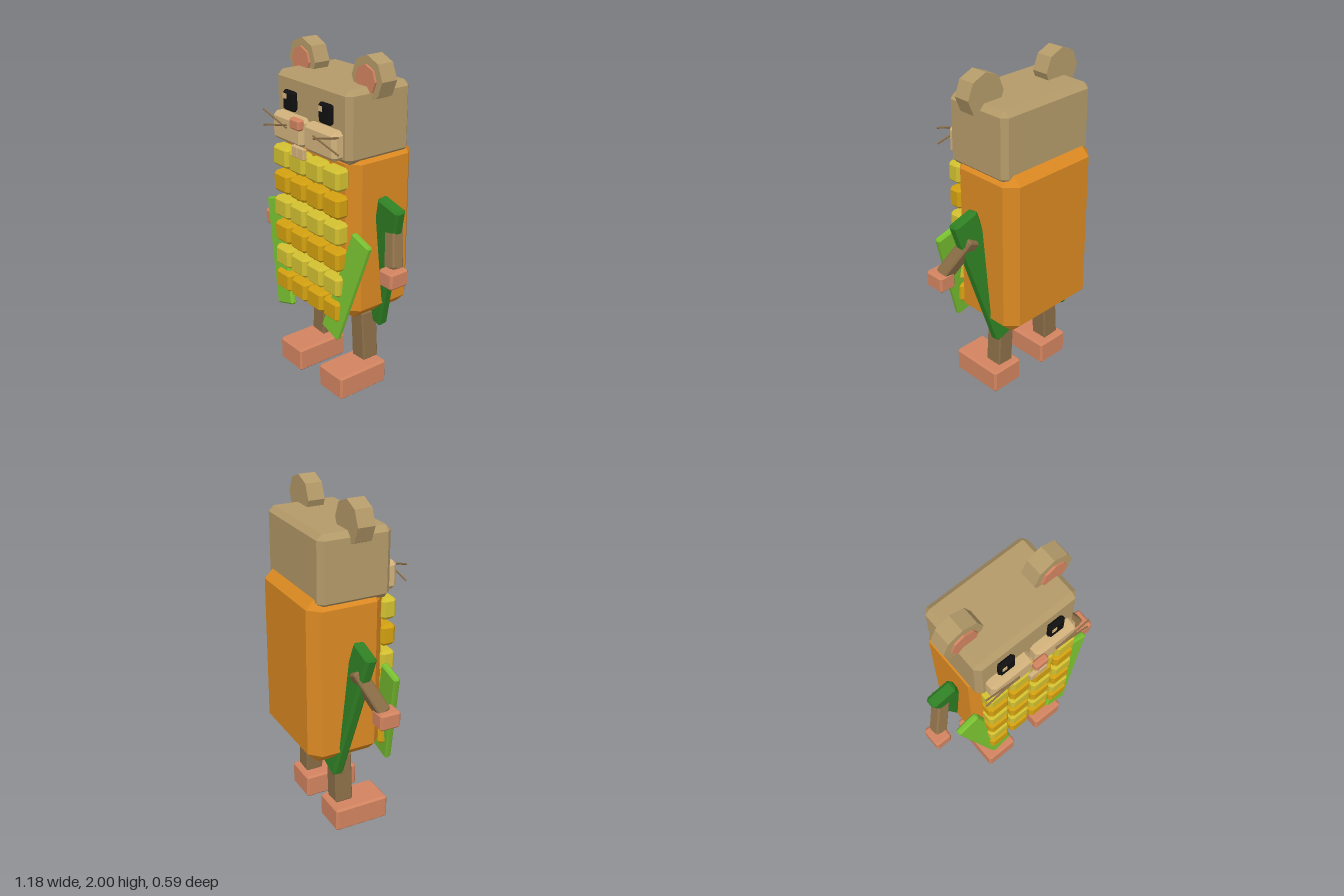
import * as THREE from 'three';
import { ConvexGeometry } from 'three/addons/geometries/ConvexGeometry.js';

function material(name, color) {
  const m = new THREE.MeshStandardMaterial({ color });
  m.name = name;
  return m;
}

// Box with flat chamfered edges, centred on its origin
function chamferBox(w, h, d, c) {
  const pts = [];
  const x = w / 2, y = h / 2, z = d / 2;
  for (const i of [-1, 1]) for (const j of [-1, 1]) for (const k of [-1, 1]) {
    pts.push(
      new THREE.Vector3(i * x, j * (y - c), k * (z - c)),
      new THREE.Vector3(i * (x - c), j * y, k * (z - c)),
      new THREE.Vector3(i * (x - c), j * (y - c), k * z));
  }
  return new ConvexGeometry(pts);
}

export function createModel() {
  const model = new THREE.Group();
  model.name = 'cornMouse';

  const fur = material('fur', 0xb49a69);
  const cream = material('cream', 0xd2b27c);
  const pink = material('pink', 0xd28460);
  const brown = material('brown', 0x8b6e47);
  const cob = material('cob', 0xdb8922);
  const yellow = material('paleKernel', 0xd2c030);
  const gold = material('goldKernel', 0xd2a010);
  const darkGreen = material('darkLeaf', 0x2f8024);
  const lime = material('limeLeaf', 0x78bf30);
  const black = material('black', 0x101010);

  function add(name, geometry, mat, x, y, z) {
    const mesh = new THREE.Mesh(geometry, mat);
    mesh.name = name;
    mesh.position.set(x, y, z);
    model.add(mesh);
    return mesh;
  }
  const box = (name, mat, [w, h, d], c, x, y, z) =>
    add(name, chamferBox(w, h, d, c), mat, x, y, z);

  // Bar running between two points
  function bar(name, mat, from, to, w, d, c) {
    const a = new THREE.Vector3(...from), b = new THREE.Vector3(...to);
    const dir = b.clone().sub(a);
    const mid = a.clone().add(b).multiplyScalar(0.5);
    const mesh = box(name, mat, [w, dir.length(), d], c, mid.x, mid.y, mid.z);
    mesh.quaternion.setFromUnitVectors(new THREE.Vector3(0, 1, 0), dir.normalize());
    return mesh;
  }

  // Cob body and head
  box('body', cob, [0.66, 1.0, 0.455], 0.065, 0, 1.0, -0.07);
  box('head', fur, [0.65, 0.4, 0.43], 0.03, 0, 1.64, -0.032);

  // Kernels in rows of alternating colour
  for (let row = 0; row < 6; row++) {
    for (let col = 0; col < 4; col++) {
      box('kernel', row % 2 ? gold : yellow, [0.137, 0.125, 0.09], 0.018,
        (col - 1.5) * 0.153, 1.36 - row * 0.156, 0.192);
    }
  }

  // Nose
  box('nose', pink, [0.088, 0.062, 0.043], 0.01, 0, 1.615, 0.275);

  for (const s of [-1, 1]) {
    // Ears
    const ear = new THREE.CylinderGeometry(0.122, 0.122, 0.1, 8).toNonIndexed();
    ear.rotateX(Math.PI / 2);
    ear.computeVertexNormals();
    add('ear', ear, fur, s * 0.28, 1.878, -0.02);
    const inner = new THREE.CylinderGeometry(0.08, 0.08, 0.02, 8).toNonIndexed();
    inner.rotateX(Math.PI / 2);
    inner.computeVertexNormals();
    add('innerEar', inner, pink, s * 0.28, 1.872, 0.032);

    // Eyes, each with a glint on the same side
    box('eye', black, [0.104, 0.112, 0.036], 0.012, s * 0.16, 1.695, 0.2);
    add('eyeGlint', new THREE.BoxGeometry(0.028, 0.028, 0.006), cream, s * 0.16 - 0.025, 1.72, 0.22);

    // Muzzle halves and teeth
    box('muzzle', cream, [0.27, 0.16, 0.09], 0.022, s * 0.145, 1.543, 0.2);
    box('tooth', cream, [0.054, 0.064, 0.026], 0.004, s * 0.029, 1.453, 0.263);

    // Whiskers
    bar('whisker', brown, [s * 0.12, 1.56, 0.258], [s * 0.34, 1.62, 0.26], 0.01, 0.008, 0.002);
    bar('whisker', brown, [s * 0.12, 1.577, 0.258], [s * 0.34, 1.527, 0.26], 0.01, 0.008, 0.002);

    // Arms and hands
    bar('arm', brown, [s * 0.525, 0.88, 0.03], [s * 0.405, 1.095, -0.072], 0.078, 0.075, 0.008);
    box('hand', pink, [0.105, 0.1, 0.125], 0.012, s * 0.538, 0.85, 0.043);

    // Husk leaves
    const back = box('backLeaf', darkGreen, [0.17, 0.85, 0.07], 0.015, s * 0.318, 0.812, -0.072);
    back.rotation.set(0.103, 0, -s * 0.268);
    const front = box('frontLeaf', lime, [0.15, 0.65, 0.04], 0.01, s * 0.308, 0.735, 0.18);
    front.rotation.set(-0.11, 0, -s * 0.29);

    // Legs and feet
    bar('leg', brown, [s * 0.198, 0.162, -0.055], [s * 0.178, 0.47, -0.055], 0.11, 0.11, 0.008);
    box('foot', pink, [0.212, 0.147, 0.342], 0.012, s * 0.197, 0.0735, 0.04);
  }

  return model;
}
